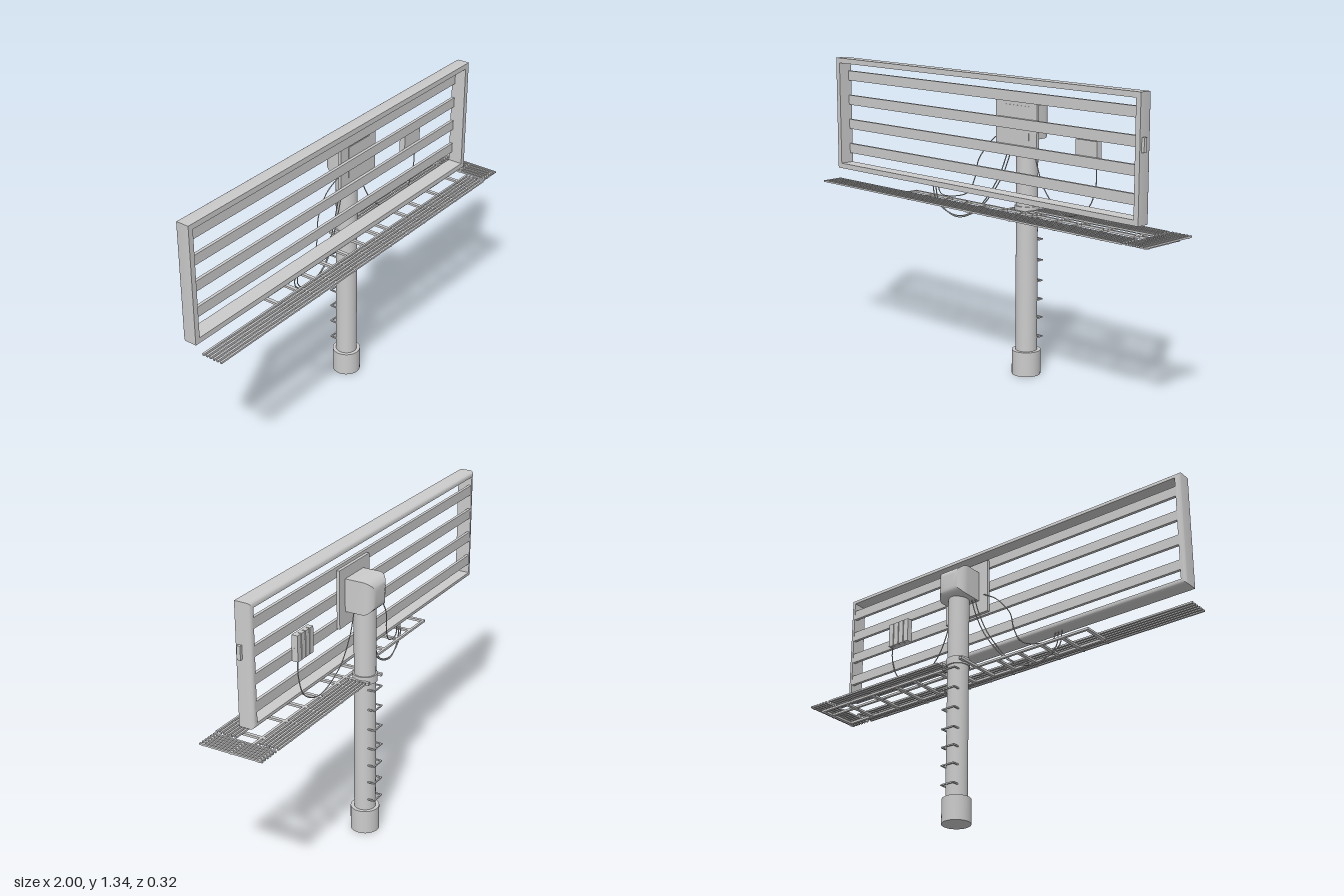
import * as THREE from 'three';
import { toCreasedNormals } from 'three/addons/utils/BufferGeometryUtils.js';

const material = new THREE.MeshStandardMaterial({ color: 0xcccccc });

function add(parent, name, geometry, x = 0, y = 0, z = 0) {
  const mesh = new THREE.Mesh(geometry, material);
  mesh.name = name;
  mesh.position.set(x, y, z);
  parent.add(mesh);
  return mesh;
}

// box given by its extents
function block(parent, name, x0, x1, y0, y1, z0, z1) {
  return add(parent, name, new THREE.BoxGeometry(x1 - x0, y1 - y0, z1 - z0),
    (x0 + x1) / 2, (y0 + y1) / 2, (z0 + z1) / 2);
}

function group(parent, name) {
  const g = new THREE.Group();
  g.name = name;
  parent.add(g);
  return g;
}

// skin over rectangular rings [halfWidth, halfHeight, z], listed front to back
function rectLoft(rings) {
  const corners = rings.map(([w, h, z]) => [[w, h, z], [-w, h, z], [-w, -h, z], [w, -h, z]]);
  const pos = [];
  for (let i = 0; i < rings.length - 1; i++) {
    for (let j = 0; j < 4; j++) {
      const k = (j + 1) % 4;
      const a = corners[i][j], b = corners[i][k], c = corners[i + 1][k], d = corners[i + 1][j];
      pos.push(...a, ...d, ...c, ...a, ...c, ...b);
    }
  }
  const g = new THREE.BufferGeometry();
  g.setAttribute('position', new THREE.Float32BufferAttribute(pos, 3));
  return toCreasedNormals(g, 0.5);
}

// rings whose size shrinks along a quarter circle towards the back
function roundedRings(w, h, zBack, r, steps = 6) {
  const rings = [];
  for (let i = 0; i <= steps; i++) {
    const t = (i / steps) * Math.PI / 2;
    const inset = r * (1 - Math.cos(t));
    rings.push([w - inset, h - inset, zBack + r * (1 - Math.sin(t))]);
  }
  return rings;
}

// parallel bars with cross ties; bars run along x or z
function grating(parent, name, x0, x1, z0, z1, count, ties, alongZ = false) {
  const g = group(parent, name);
  const w = 0.009, y0 = 0.753, y1 = 0.761;
  for (let i = 0; i < count; i++) {
    const t = i / (count - 1);
    if (alongZ) {
      const x = x0 + t * (x1 - x0 - w);
      block(g, 'gratingBar', x, x + w, y0, y1, z0, z1);
    } else {
      const z = z0 + t * (z1 - z0 - w);
      block(g, 'gratingBar', x0, x1, y0, y1, z, z + w);
    }
  }
  for (const p of ties) {
    if (alongZ) block(g, 'gratingTie', x0, x1, y0 - 0.002, y1 - 0.002, p - 0.004, p + 0.004);
    else block(g, 'gratingTie', p - 0.004, p + 0.004, y0 - 0.002, y1 - 0.002, z0, z1);
  }
}

function tube(parent, name, points, radius, segments = 40) {
  const curve = new THREE.CatmullRomCurve3(points.map(p => new THREE.Vector3(...p)));
  return add(parent, name, new THREE.TubeGeometry(curve, segments, radius, 6, false));
}

export function createModel() {
  const model = new THREE.Group();
  model.name = 'billboard';
  const px = 0.138, pz = -0.086;

  // pole, foot and collar
  add(model, 'pole', new THREE.CylinderGeometry(0.048, 0.048, 1.0, 32), px, 0.59, pz);
  add(model, 'poleFoot', new THREE.CylinderGeometry(0.064, 0.064, 0.112, 32), px, 0.056, pz);
  add(model, 'collar', new THREE.CylinderGeometry(0.054, 0.054, 0.035, 32), px, 0.75, pz);

  // staple-shaped climbing rungs
  const rungs = group(model, 'climbingRungs');
  for (const y of [0.165, 0.253, 0.337, 0.422, 0.515, 0.61, 0.705]) {
    block(rungs, 'rung', px - 0.035, px + 0.035, y - 0.003, y + 0.003, -0.153, -0.147);
    for (const s of [-1, 1]) {
      const x = px + s * 0.032;
      block(rungs, 'rungLeg', x - 0.003, x + 0.003, y - 0.003, y + 0.003, -0.15, -0.11);
    }
  }

  // pole head with rounded back, and mounting plate
  add(model, 'poleHead', rectLoft([
    [0, 0, -0.018], [0.074, 0.073, -0.018],
    ...roundedRings(0.074, 0.073, -0.16, 0.046, 8), [0, 0, -0.16],
  ]), px, 1.138, 0);
  block(model, 'mountPlate', 0.013, 0.257, 1.0, 1.26, -0.034, -0.02);

  // panel frame: mitred profile with rounded outer back edges
  const W = 0.9385, H = 0.266, lip = 0.024;
  const cx = -0.0615, cy = 1.072;
  add(model, 'panelFrame', rectLoft([
    [W - lip, H - lip, 0.05], [W, H, 0.05],
    ...roundedRings(W, H, -0.02, 0.018),
    [W - lip, H - lip, -0.02], [W - lip, H - lip, 0.05],
  ]), cx, cy, 0);
  for (const y of [1.25, 1.133, 1.016, 0.898]) {
    block(model, 'panelSlat', cx - W + 0.02, cx + W - 0.02, y - 0.023, y + 0.023, -0.018, -0.004);
  }
  block(model, 'switchBox', 0.87, 0.89, 1.1, 1.16, 0.022, 0.039);

  // ribbed control box
  const box = group(model, 'controlBox');
  block(box, 'controlBoxBack', 0.48, 0.597, 0.99, 1.105, -0.03, -0.018);
  for (let i = 0; i < 4; i++) {
    const x = 0.48 + i * 0.0303;
    block(box, 'controlBoxRib', x, x + 0.026, 0.99, 1.105, -0.046, -0.028);
  }

  // walkway gratings
  const walk = group(model, 'walkway');
  const ties = (x0, x1) => {
    const list = [];
    for (let x = x0; x < x1; x += 0.128) list.push(x);
    return list;
  };
  grating(walk, 'frontGrating', -0.978, 0.885, 0.06, 0.16, 6, ties(-0.5, 0.885));
  grating(walk, 'rearGrating', 0.217, 0.885, -0.138, -0.045, 6, ties(0.28, 0.885));
  grating(walk, 'sideGrating', 0.9, 1.0, -0.138, 0.156, 6, [-0.12, 0.01, 0.14], true);

  // ladder-like support under the walkway
  for (const z of [-0.02, 0.105]) {
    block(walk, 'supportRail', -0.52, 0.98, 0.742, 0.752, z - 0.006, z + 0.006);
  }
  block(walk, 'rearSupportRail', 0.2, 0.98, 0.742, 0.752, -0.086, -0.074);
  for (const x of [-0.512, -0.383, -0.27, -0.147, -0.03]) {
    block(walk, 'crossPiece', x - 0.008, x + 0.008, 0.742, 0.752, -0.02, 0.11);
  }
  for (const x of [0.26, 0.405, 0.515, 0.66, 0.825, 0.97]) {
    block(walk, 'crossPiece', x - 0.008, x + 0.008, 0.742, 0.752, -0.08, 0.11);
  }
  for (const s of [-1, 1]) {
    const x = px + s * 0.054;
    block(walk, 'poleArm', x - 0.007, x + 0.007, 0.74, 0.752, -0.138, 0.11);
  }

  // hanging cables
  tube(model, 'upperCable', [
    [0.03, 1.085, -0.04], [-0.05, 1.03, -0.05], [-0.12, 0.94, -0.042], [-0.135, 0.86, -0.035],
    [-0.17, 0.79, -0.025], [-0.25, 0.763, -0.01], [-0.31, 0.768, 0.01], [-0.322, 0.81, 0.02],
  ], 0.0025);
  for (const d of [0, 0.018]) {
    tube(model, 'longCable', [
      [0.085 - d, 1.07, -0.06], [0.065 - d, 0.99, -0.055], [0.01 - d, 0.86, -0.045],
      [-0.1 - d / 2, 0.72, -0.015], [-0.23, 0.672 + d / 3, -0.005],
      [-0.325 - d, 0.73, 0.01], [-0.337 - d, 0.81, 0.02],
    ], 0.0025);
  }
  tube(model, 'boxCable', [
    [0.19, 1.07, -0.065], [0.22, 0.96, -0.06], [0.29, 0.84, -0.05], [0.42, 0.768, -0.035],
    [0.54, 0.82, -0.035], [0.58, 0.92, -0.035], [0.582, 1.0, -0.035],
  ], 0.0025);

  return model;
}
